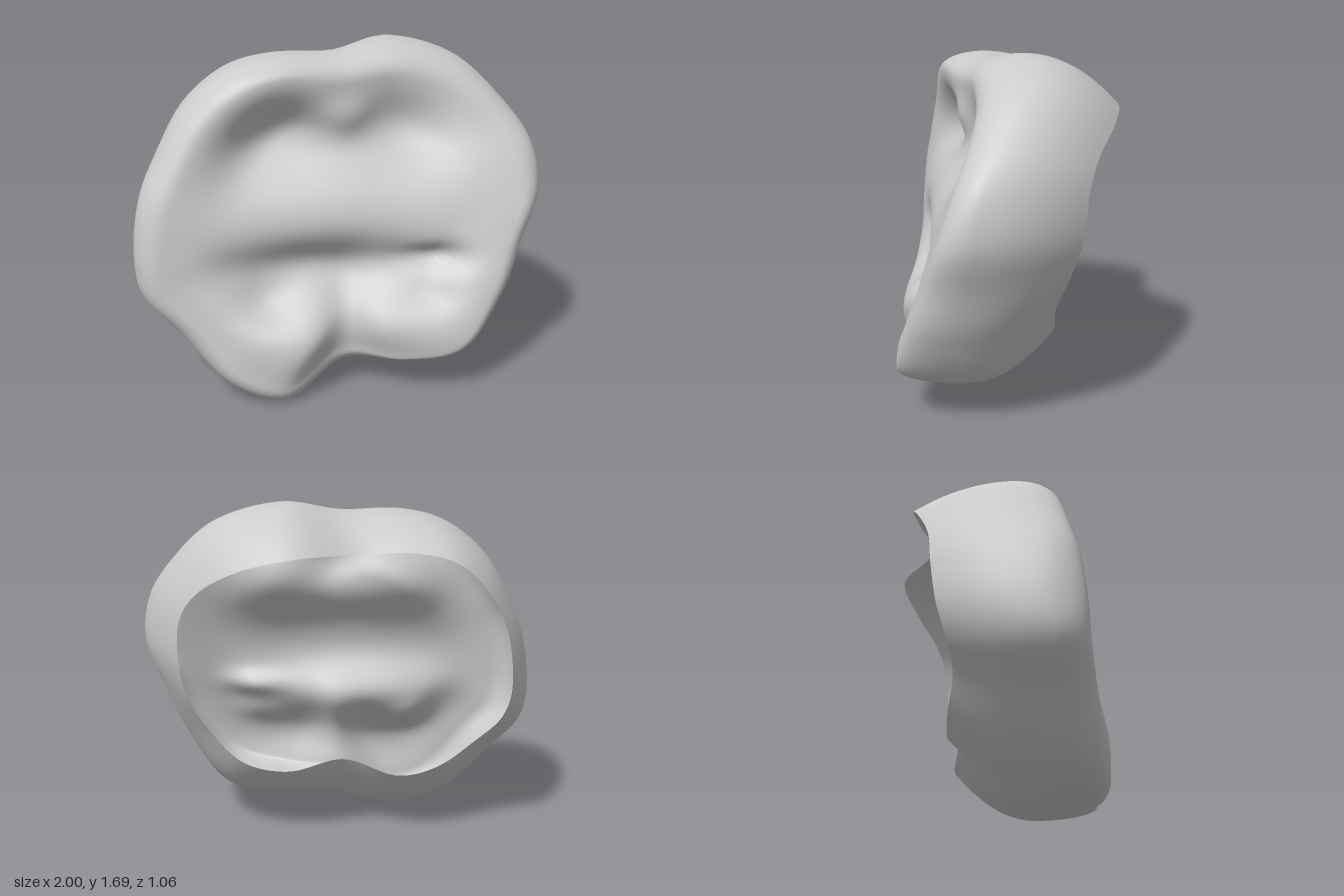
import * as THREE from 'three';

const COLS = 144, WALL = 14, RIM = 10, FACE = 36;
const CENTRE = new THREE.Vector2(0, 0.88);

const loop = (pts) => new THREE.CatmullRomCurve3(pts.map((p) => new THREE.Vector3(...p)), true, 'centripetal');

// Open back edge, widest outline and front crest, counter-clockwise from the model's left
const backEdge = loop([
  [.79, .95, -.3], [.78, 1.15, -.32], [.7, 1.28, -.37], [.5, 1.4, -.48], [.25, 1.46, -.53], [-.08, 1.46, -.35], [-.32, 1.47, -.4],
  [-.5, 1.43, -.42], [-.64, 1.32, -.38], [-.76, 1.14, -.32], [-.81, .95, -.3], [-.82, .75, -.27], [-.78, .62, -.23], [-.66, .5, -.2],
  [-.47, .38, -.23], [-.27, .34, -.24], [0, .42, -.2], [.28, .37, -.23], [.5, .42, -.22], [.66, .58, -.2], [.76, .77, -.25],
]);
const outline = loop([
  [1, .98, .2], [.97, 1.2, .15], [.84, 1.4, .02], [.62, 1.6, -.08], [.3, 1.69, -.1], [0, 1.645, .02], [-.3, 1.645, .06],
  [-.52, 1.59, .08], [-.73, 1.43, .1], [-.87, 1.2, .15], [-.96, 1, .2], [-1, .7, .2], [-.97, .53, .22], [-.81, .35, .25],
  [-.57, .09, .36], [-.3, 0, .4], [0, .115, .2], [.3, .145, .16], [.6, .2, .2], [.82, .5, .25], [.92, .75, .22],
]);
const crest = loop([
  [.88, .95, .35], [.85, 1.15, .28], [.73, 1.33, .2], [.54, 1.46, .15], [.3, 1.55, .15], [.02, 1.53, .2], [-.28, 1.56, .27],
  [-.46, 1.5, .29], [-.63, 1.35, .3], [-.75, 1.15, .33], [-.83, .96, .36], [-.87, .72, .38], [-.83, .56, .39], [-.7, .4, .42],
  [-.5, .16, .48], [-.3, .09, .49], [0, .21, .36], [.27, .2, .47], [.55, .27, .53], [.71, .52, .48], [.8, .75, .41],
]);

// Soft bumps and hollows of the chewing face: x, y, width, height, amount
const features = [
  [-.38, 1.32, .34, .24, -.12],  // upper basins
  [.36, 1.34, .3, .25, -.15],
  [0, 1.2, .45, .14, -.05],
  [.04, 1.4, .12, .12, .05],     // tongue between the upper basins
  [-.12, .63, .55, .16, -.17],   // cross valley
  [-.4, .48, .18, .1, -.07],     // hollows of the lower cusps
  [.5, .68, .2, .06, -.06],
  [.5, .5, .14, .06, -.03],
  [.01, .35, .12, .22, -.1],     // groove between the lower cusps
];
function floorHeight(x, y) {
  let z = 0.36 - 0.25 * (y - 0.9);
  for (const [fx, fy, w, h, a] of features) {
    z += a * Math.exp(-(((x - fx) / w) ** 2) - ((y - fy) / h) ** 2);
  }
  return z;
}

// One column of points from the back edge, over the rim, towards the centre
function column(t) {
  const b = backEdge.getPoint(t), s = outline.getPoint(t), c = crest.getPoint(t);
  const pts = [];
  for (let i = 0; i < WALL; i++) {
    const u = 1 - i / WALL, k = u * u;
    pts.push([s.x + (b.x - s.x) * k, s.y + (b.y - s.y) * k, s.z + (b.z - s.z) * u]);
  }
  for (let i = 0; i < RIM; i++) {
    const a = (i / RIM) * Math.PI / 2, k = 1 - Math.cos(a);
    pts.push([s.x + (c.x - s.x) * k, s.y + (c.y - s.y) * k, s.z + (c.z - s.z) * Math.sin(a)]);
  }
  for (let i = 0; i < FACE; i++) {
    const r = 1 - i / FACE;
    const x = CENTRE.x + (c.x - CENTRE.x) * r, y = CENTRE.y + (c.y - CENTRE.y) * r;
    const w = THREE.MathUtils.smoothstep(1 - r, 0, 0.4);
    pts.push([x, y, c.z + (floorHeight(x, y) - c.z) * w]);
  }
  return pts;
}

export function createModel() {
  const rows = WALL + RIM + FACE;
  const positions = [], index = [];
  for (let j = 0; j < COLS; j++) positions.push(...column(j / COLS).flat());
  const pole = COLS * rows;
  positions.push(CENTRE.x, CENTRE.y, floorHeight(CENTRE.x, CENTRE.y));

  for (let j = 0; j < COLS; j++) {
    const p = j * rows, q = ((j + 1) % COLS) * rows;
    for (let i = 0; i < rows - 1; i++) {
      index.push(p + i, q + i, q + i + 1, p + i, q + i + 1, p + i + 1);
    }
    index.push(p + rows - 1, q + rows - 1, pole);
  }

  const geometry = new THREE.BufferGeometry();
  geometry.setAttribute('position', new THREE.Float32BufferAttribute(positions, 3));
  geometry.setIndex(index);
  geometry.computeVertexNormals();

  const crown = new THREE.Mesh(geometry, new THREE.MeshStandardMaterial({ color: 0xcccccc, side: THREE.DoubleSide }));
  crown.name = 'toothCrownShell';
  const group = new THREE.Group();
  group.name = 'toothCrown';
  group.add(crown);
  return group;
}
